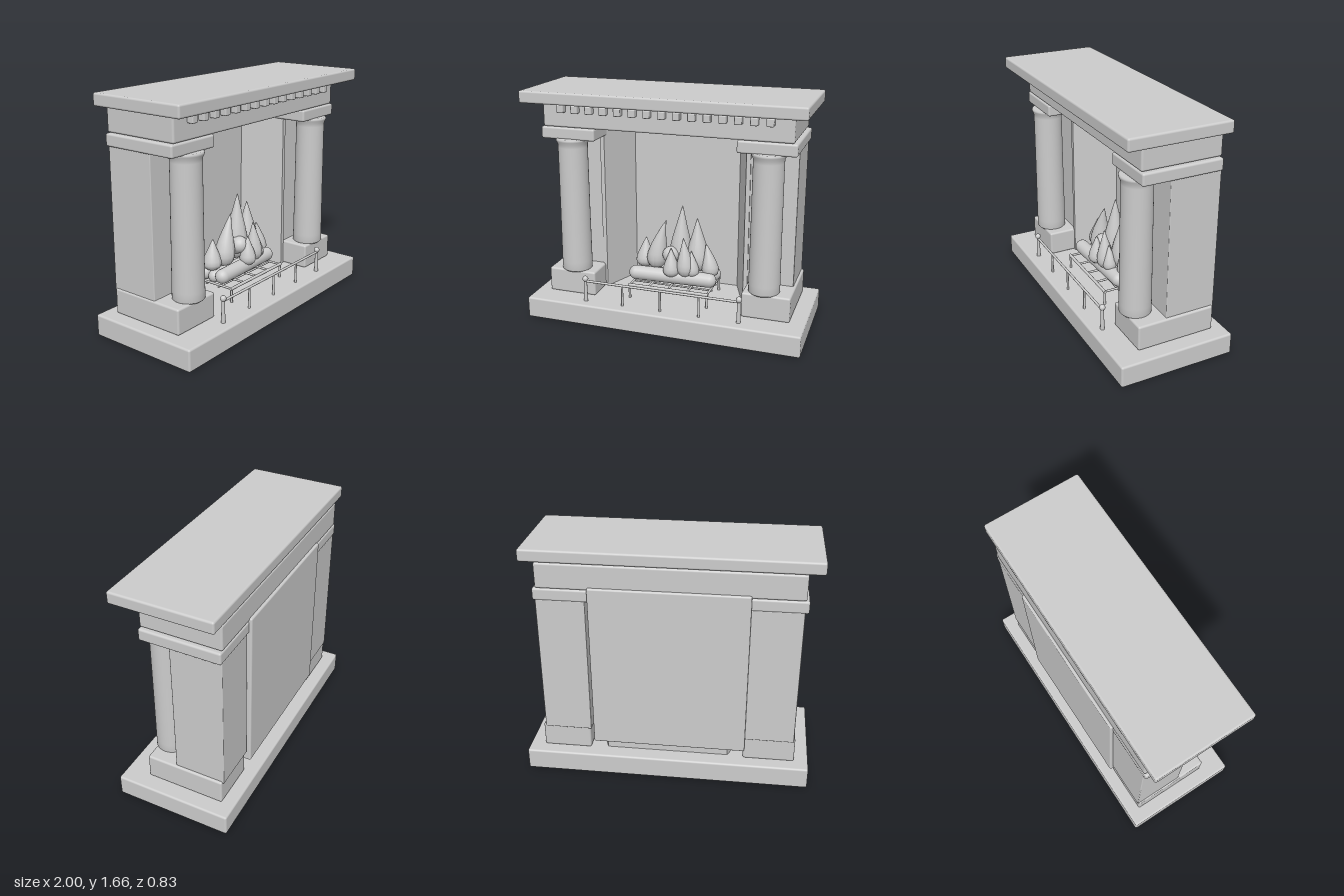
import * as THREE from 'three';
import { RoundedBoxGeometry } from 'three/addons/geometries/RoundedBoxGeometry.js';

export function createModel() {
  const group = new THREE.Group();
  const stone = new THREE.MeshStandardMaterial({ color: 0xcccccc });
  stone.name = 'pale grey stone';

  const add = (name, geometry, x = 0, y = 0, z = 0) => {
    const mesh = new THREE.Mesh(geometry, stone);
    mesh.name = name;
    mesh.position.set(x, y, z);
    group.add(mesh);
    return mesh;
  };
  // Softly bevelled block given by its extents
  const block = (name, x0, x1, y0, y1, z0, z1, r = 0.014) =>
    add(name, new RoundedBoxGeometry(x1 - x0, y1 - y0, z1 - z0, 3, r),
      (x0 + x1) / 2, (y0 + y1) / 2, (z0 + z1) / 2);
  // Round bar between two points
  const rod = (name, a, b, r0, r1 = r0, sides = 12) => {
    const p = new THREE.Vector3(...a), q = new THREE.Vector3(...b);
    const dir = q.clone().sub(p);
    const mesh = add(name, new THREE.CylinderGeometry(r1, r0, dir.length(), sides));
    mesh.position.copy(p).add(q).multiplyScalar(0.5);
    mesh.quaternion.setFromUnitVectors(new THREE.Vector3(0, 1, 0), dir.normalize());
    return mesh;
  };
  const lathe = (points, sides) =>
    new THREE.LatheGeometry(points.map(([r, y]) => new THREE.Vector2(r, y)), sides);

  // Hearth, frieze and mantel shelf
  block('hearth', -1, 1, 0, 0.155, -0.415, 0.415);
  block('frieze', -0.895, 0.867, 1.395, 1.572, -0.336, 0.228);
  block('mantelShelf', -1, 0.968, 1.575, 1.66, -0.34, 0.373);

  // Row of dentils under the shelf
  for (let i = 0; i < 15; i++) {
    const x = -0.745 + i * 0.1042;
    block('dentil', x - 0.025, x + 0.025, 1.502, 1.558, 0.222, 0.272, 0.008);
  }

  // Piers with plinth, capital and round column
  const columnProfile = [[0, 0.33], [0.1, 0.33], [0.109, 0.34], [0.109, 0.4],
    [0.106, 0.8], [0.104, 1.25], [0.106, 1.275], [0.116, 1.295], [0.118, 1.308], [0.11, 1.315], [0, 1.315]];
  const piers = [
    { plinth: [-0.9, -0.54], pier: [-0.89, -0.548], cap: [-0.915, -0.515], column: -0.71 },
    { plinth: [0.55, 0.89], pier: [0.54, 0.872], cap: [0.49, 0.89], column: 0.693 },
  ];
  for (const p of piers) {
    block('plinth', ...p.plinth, 0.155, 0.335, -0.325, 0.237);
    block('pier', ...p.pier, 0.32, 1.315, -0.335, 0.025, 0.006);
    block('capital', ...p.cap, 1.308, 1.393, -0.336, 0.23);
    add('column', lathe(columnProfile, 40), p.column, 0, 0.158);
  }

  // Firebox with splayed cheeks, drawn in plan and raised
  const plan = new THREE.Shape([
    [-0.525, -0.035], [-0.555, -0.035], [-0.555, 0.02], [-0.43, 0.3], [0.43, 0.3],
    [0.545, 0.02], [0.545, -0.035], [0.515, -0.035], [0.4, 0.27], [-0.405, 0.27],
  ].map(([x, y]) => new THREE.Vector2(x, y)));
  const firebox = new THREE.ExtrudeGeometry(plan, { depth: 1.25, bevelEnabled: false });
  firebox.rotateX(-Math.PI / 2);
  add('firebox', firebox, 0, 0.15, 0);
  block('backPanel', -0.55, 0.52, 0.23, 1.415, -0.355, -0.295, 0.012);

  // Fender rail with five posts, balls on the end ones
  const fenderZ = 0.333;
  rod('fenderRail', [-0.57, 0.308, fenderZ], [0.56, 0.308, fenderZ], 0.009);
  for (let i = 0; i < 5; i++) {
    const x = -0.57 + i * 0.2825;
    const end = i === 0 || i === 4;
    rod('fenderPost', [x, 0.15, fenderZ], [x, 0.31, fenderZ], end ? 0.015 : 0.009, end ? 0.011 : 0.007);
    if (end) add('fenderBall', new THREE.SphereGeometry(0.021, 20, 14), x, 0.326, fenderZ);
  }

  // Fire grate
  const gy = 0.255;
  for (const z of [-0.15, 0.18]) {
    rod('grateRim', [-0.3, gy, z], [0.3, gy, z], 0.011);
    for (const x of [-0.29, 0.29]) rod('grateLeg', [x, 0.15, z], [x, gy, z], 0.009);
  }
  for (const z of [-0.04, 0.07]) rod('grateBar', [-0.3, gy - 0.012, z], [0.3, gy - 0.012, z], 0.007);
  for (let i = 0; i < 5; i++) {
    const x = -0.29 + i * 0.145;
    rod('grateCrossbar', [x, gy, -0.15], [x, gy, 0.18], 0.008);
  }

  // Logs with rounded ends
  const log = (a, b, r) => {
    const p = new THREE.Vector3(...a), q = new THREE.Vector3(...b);
    const dir = q.clone().sub(p);
    const mesh = add('log', new THREE.CapsuleGeometry(r, dir.length() - 2 * r, 6, 20));
    mesh.position.copy(p).add(q).multiplyScalar(0.5);
    mesh.quaternion.setFromUnitVectors(new THREE.Vector3(0, 1, 0), dir.normalize());
  };
  log([-0.325, 0.32, 0.09], [0.325, 0.315, 0.06], 0.052);
  log([-0.31, 0.305, -0.08], [0.325, 0.32, -0.06], 0.052);
  log([-0.3, 0.295, 0.0], [0.29, 0.295, 0.0], 0.045);
  log([-0.02, 0.42, -0.12], [-0.02, 0.49, 0.1], 0.062);

  // Flames: base x, tip x, bottom, top, radius, z
  const flameProfile = [[0, 0], [0.6, 0.03], [0.88, 0.1], [1, 0.2], [0.95, 0.32],
    [0.75, 0.5], [0.48, 0.68], [0.24, 0.85], [0.08, 0.96], [0, 1]];
  const flames = [
    [-0.245, -0.235, 0.335, 0.56, 0.068, -0.03],
    [-0.145, -0.07, 0.345, 0.715, 0.075, 0.0],
    [0.03, 0.045, 0.345, 0.83, 0.085, -0.03],
    [0.16, 0.155, 0.345, 0.745, 0.085, -0.03],
    [0.265, 0.23, 0.325, 0.57, 0.062, 0.0],
    [0.0, 0.0, 0.33, 0.545, 0.06, 0.1],
    [0.1, 0.085, 0.335, 0.625, 0.062, 0.08],
    [0.15, 0.14, 0.335, 0.53, 0.05, 0.07],
  ];
  for (const [x, tip, y0, y1, r, z] of flames) {
    const h = y1 - y0;
    const g = lathe(flameProfile.map(([a, t]) => [a * r, t * h]), 20);
    const pos = g.attributes.position;
    for (let i = 0; i < pos.count; i++) {
      const t = pos.getY(i) / h;
      pos.setX(i, pos.getX(i) + (tip - x) * t * t);
    }
    g.computeVertexNormals();
    add('flame', g, x, y0, z);
  }
  return group;
}
